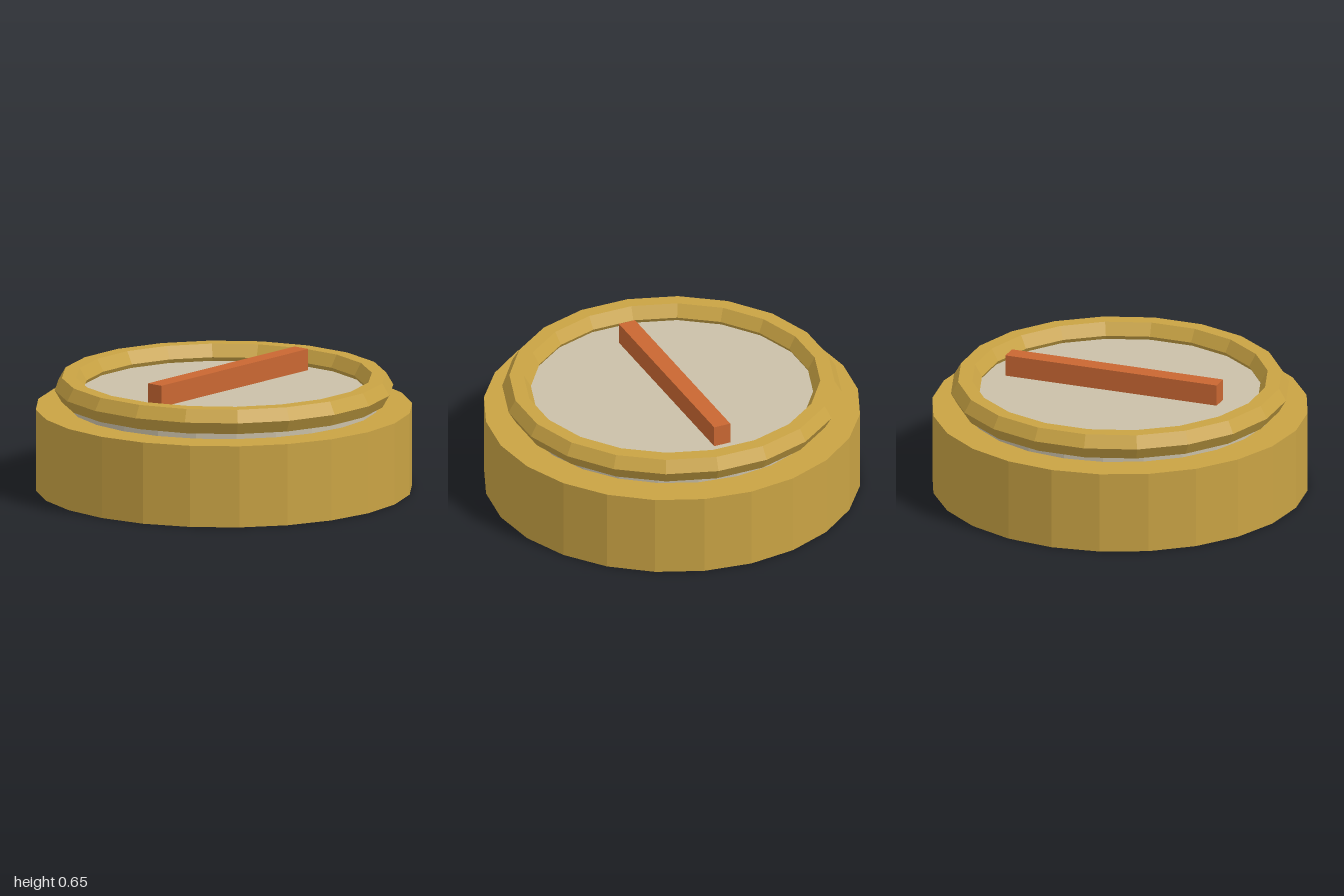
import * as THREE from 'three';

export function createModel() {
  const group = new THREE.Group();

  const material = (name, color) => {
    const m = new THREE.MeshStandardMaterial({ color, flatShading: true });
    m.name = name;
    return m;
  };
  const brass = material('brass', 0xc9a344);
  const ivory = material('ivory', 0xcac0a8);
  const copper = material('copper', 0xc96732);

  const add = (name, geometry, mat, x, y, z) => {
    const mesh = new THREE.Mesh(geometry, mat);
    mesh.name = name;
    mesh.position.set(x, y, z);
    group.add(mesh);
    return mesh;
  };

  // Solid round case
  add('case', new THREE.CylinderGeometry(1, 1, 0.44, 24), brass, 0, 0.22, 0);

  // Pale dial, showing as a narrow band below the rim
  add('dial', new THREE.CylinderGeometry(0.82, 0.82, 0.08, 24), ivory, 0, 0.48, 0);

  // Six-sided rim around the dial
  const rim = new THREE.TorusGeometry(0.824, 0.076, 6, 20).rotateX(-Math.PI / 2);
  add('rim', rim, brass, 0, 0.542, 0);

  // Diagonal needle, slightly off centre
  const needle = add('needle', new THREE.BoxGeometry(1.2, 0.115, 0.094), copper, 0.023, 0.594, -0.023);
  needle.rotation.y = Math.PI / 4;

  return group;
}
